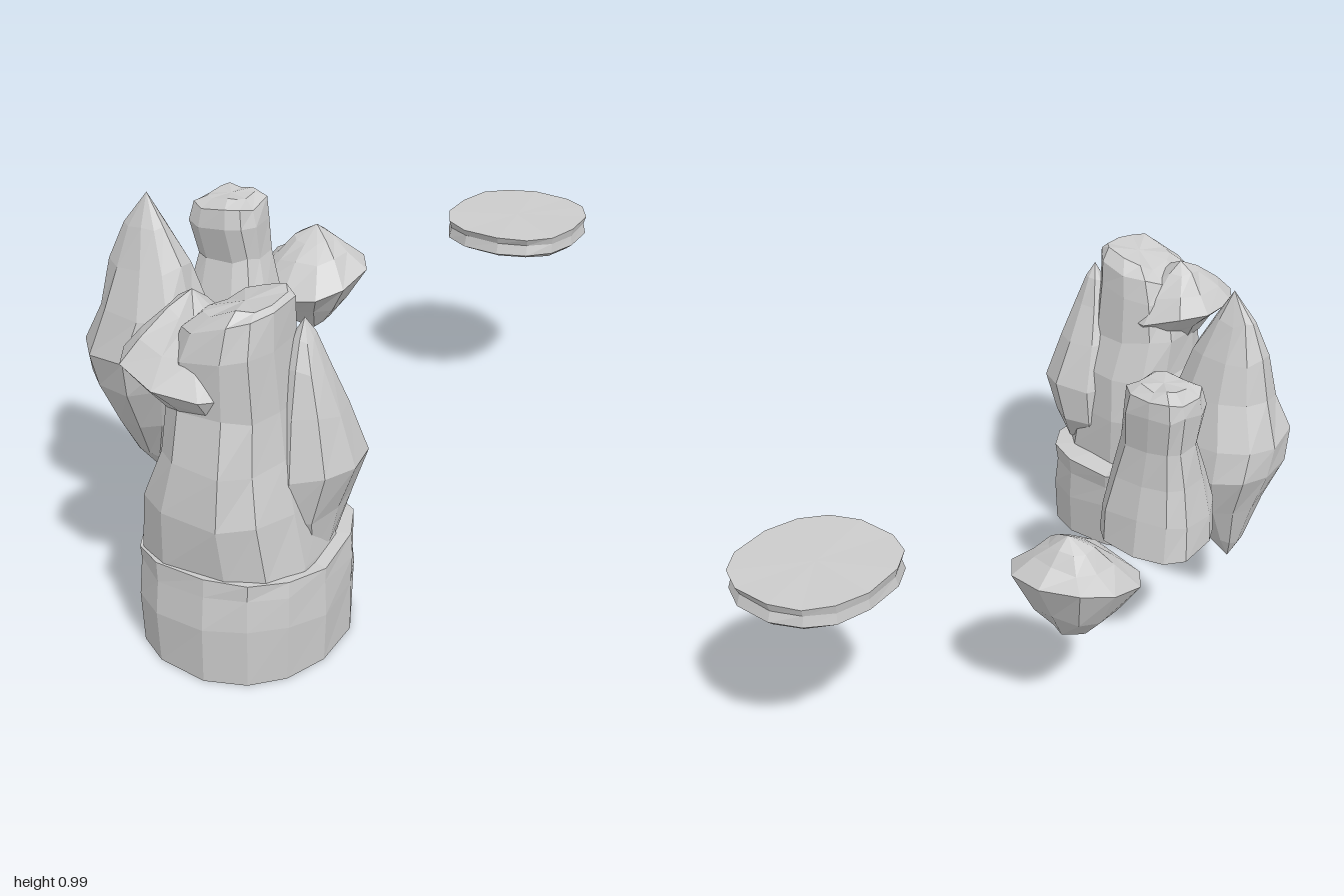
import * as THREE from 'three';

const material = new THREE.MeshStandardMaterial({ color: 0xcccccc, flatShading: true });

// Small seeded generator for the chipped, uneven look
function seeded(seed) {
  let s = seed;
  return () => (s = (s * 16807) % 2147483647) / 2147483647;
}

// Low-poly rock skinned over horizontal rings.
// ring: [y, xMin, xMax, zMin, zMax, tiltX, tiltZ]; a ring without width is a point.
function rock(name, rings, { sides = 11, seed = 7, rough = 0.07, roughY = 0.02, square = 2.4, turn = 0.2 } = {}) {
  const rnd = seeded(seed * 7919);
  const round = (v) => Math.sign(v) * Math.abs(v) ** (2 / square);
  const loops = rings.map(([y, x0, x1, z0, z1, tx = 0, tz = 0]) => {
    const cx = (x0 + x1) / 2, cz = (z0 + z1) / 2;
    const loop = [];
    for (let i = 0; i < sides; i++) {
      const a = ((i + turn) / sides) * Math.PI * 2;
      const k = 1.02 - rough * rnd();
      const dx = round(Math.cos(a)) * k * (x1 - x0) / 2;
      const dz = round(Math.sin(a)) * k * (z1 - z0) / 2;
      const wobble = x1 > x0 && y > 0 ? (rnd() - 0.5) * roughY : 0;
      loop.push(new THREE.Vector3(cx + dx, y + tx * dx + tz * dz + wobble, cz + dz));
    }
    return loop;
  });
  const centre = (loop) => loop.reduce((c, p) => c.add(p), new THREE.Vector3()).divideScalar(sides);
  const points = [];
  const tri = (a, b, c) => {
    if (new THREE.Triangle(a, b, c).getArea() > 1e-7) points.push(a, b, c);
  };
  const bottom = loops[0], top = loops[loops.length - 1];
  const bottomMid = centre(bottom), topMid = centre(top);
  for (let i = 0; i < sides; i++) {
    const n = (i + 1) % sides;
    for (let r = 0; r < loops.length - 1; r++) {
      const lo = loops[r], hi = loops[r + 1];
      tri(lo[i], hi[i], lo[n]);
      tri(lo[n], hi[i], hi[n]);
    }
    tri(bottomMid, bottom[i], bottom[n]);
    tri(topMid, top[n], top[i]);
  }
  const geometry = new THREE.BufferGeometry().setFromPoints(points);
  geometry.computeVertexNormals();
  const mesh = new THREE.Mesh(geometry, material);
  mesh.name = name;
  return mesh;
}

export function createModel() {
  const model = new THREE.Group();
  model.name = 'rockSet';

  // Stacked formation: base, leaning pillar, side spire and cap
  const formation = new THREE.Group();
  formation.name = 'rockFormation';
  formation.add(
    rock('baseRock', [
      [0, -0.055, 0.43, 0.485, 1.0],
      [0.14, -0.06, 0.435, 0.48, 1.0],
      [0.22, -0.06, 0.43, 0.48, 0.99],
      [0.265, -0.065, 0.43, 0.475, 0.985],
    ], { sides: 14, seed: 3, rough: 0.03, roughY: 0.025 }),
    rock('pillarRock', [
      [0.2, -0.035, 0.41, 0.55, 0.965],
      [0.27, -0.03, 0.4, 0.55, 0.975],
      [0.41, -0.01, 0.375, 0.55, 0.985],
      [0.54, 0.035, 0.35, 0.57, 0.96],
      [0.66, 0.035, 0.335, 0.61, 0.925],
      [0.8, 0.06, 0.325, 0.63, 0.925, 0.2],
      [0.875, 0.085, 0.32, 0.64, 0.9, 0.3],
      [0.9, 0.13, 0.305, 0.67, 0.86, 0.32],
    ], { seed: 11, rough: 0.05, square: 2.8 }),
    rock('sideSpire', [
      [0.2, 0.31, 0.31, 0.68, 0.68],
      [0.27, 0.25, 0.39, 0.6, 0.76],
      [0.37, 0.21, 0.415, 0.54, 0.81],
      [0.49, 0.2, 0.465, 0.53, 0.82],
      [0.63, 0.23, 0.42, 0.58, 0.78],
      [0.74, 0.27, 0.385, 0.63, 0.75],
      [0.81, 0.3, 0.355, 0.66, 0.72],
      [0.86, 0.33, 0.33, 0.69, 0.69],
    ], { sides: 9, seed: 5, turn: 0 }),
    rock('capRock', [
      [0.65, 0.04, 0.23, 0.73, 0.91],
      [0.69, 0.0, 0.26, 0.66, 0.95, -0.1],
      [0.735, -0.065, 0.275, 0.625, 0.985, -0.17],
      [0.8, -0.025, 0.215, 0.67, 0.93, -0.15],
      [0.86, 0.025, 0.14, 0.73, 0.84, -0.1],
      [0.9, 0.07, 0.07, 0.77, 0.77],
    ], { sides: 10, seed: 9, turn: 0.5 }),
  );
  model.add(formation);

  // Loose pieces laid out behind and beside the formation
  model.add(
    rock('looseSpire', [
      [0.16, -0.33, -0.33, 0.44, 0.44],
      [0.22, -0.36, -0.27, 0.4, 0.5],
      [0.35, -0.4, -0.2, 0.345, 0.57],
      [0.47, -0.45, -0.15, 0.305, 0.63],
      [0.56, -0.46, -0.135, 0.325, 0.65],
      [0.68, -0.415, -0.125, 0.375, 0.61],
      [0.8, -0.385, -0.165, 0.41, 0.57],
      [0.9, -0.345, -0.22, 0.45, 0.53],
      [0.985, -0.275, -0.275, 0.49, 0.49],
    ], { sides: 10, seed: 4 }),
    rock('loosePillar', [
      [0.33, -0.28, -0.28, 0.09, 0.09],
      [0.385, -0.43, -0.13, -0.03, 0.245],
      [0.48, -0.425, -0.13, -0.015, 0.245],
      [0.58, -0.4, -0.155, 0.01, 0.22],
      [0.69, -0.385, -0.185, 0.02, 0.18],
      [0.79, -0.395, -0.19, 0.01, 0.205],
      [0.84, -0.385, -0.2, 0.015, 0.195],
      [0.86, -0.35, -0.23, 0.045, 0.16],
    ], { seed: 8, rough: 0.05, square: 3 }),
    rock('looseCap', [
      [0.32, -0.35, -0.24, -0.37, -0.26, 0, -0.1],
      [0.39, -0.41, -0.19, -0.42, -0.2, 0, -0.1],
      [0.475, -0.465, -0.13, -0.475, -0.14, 0, -0.25],
      [0.54, -0.4, -0.19, -0.42, -0.22, 0, -0.1],
      [0.58, -0.36, -0.24, -0.39, -0.28],
      [0.615, -0.3, -0.3, -0.35, -0.35],
    ], { sides: 10, seed: 6, turn: 0.5 }),
    rock('flatSlab', [
      [0.53, -0.02, 0.34, -0.98, -0.6],
      [0.545, -0.04, 0.36, -1.0, -0.575],
      [0.575, -0.035, 0.355, -0.99, -0.585],
      [0.597, -0.04, 0.36, -1.0, -0.575],
    ], { sides: 14, seed: 2, rough: 0.02, roughY: 0.004 }),
  );
  return model;
}
